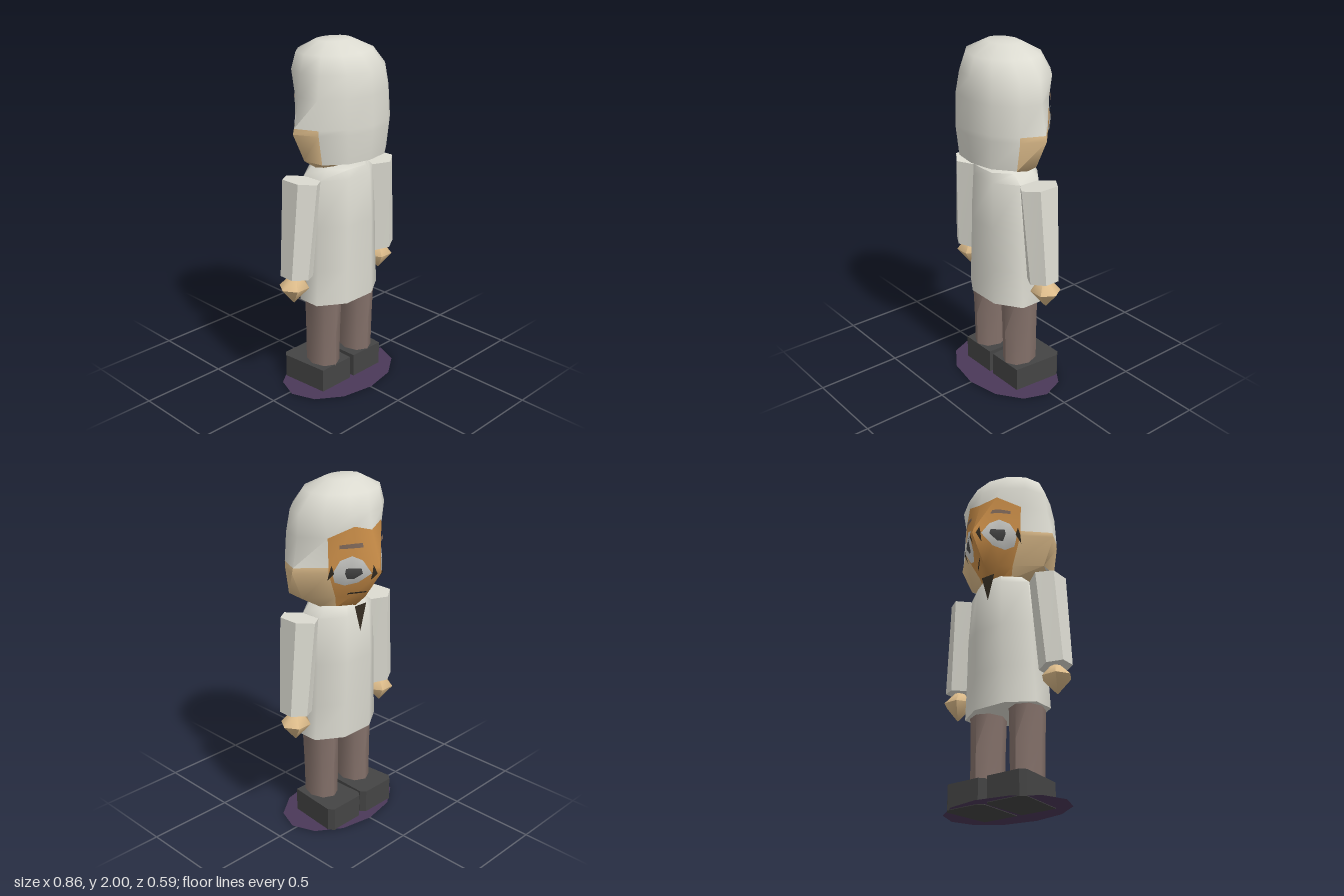
import * as THREE from 'three';
import { toCreasedNormals } from 'three/addons/utils/BufferGeometryUtils.js';

const mat = (name, color, side = THREE.FrontSide) => {
  const m = new THREE.MeshStandardMaterial({ color, side });
  m.name = name;
  return m;
};

// One closed ring, running from +z round through +x
const ring = (y, cx, cz, rx, rz, n, off = 0) =>
  Array.from({ length: n }, (_, j) => {
    const a = ((j + off) / n) * Math.PI * 2;
    return [cx + rx * Math.sin(a), y, cz + rz * Math.cos(a)];
  });

// Skin through rings from bottom to top, with capped ends; paint picks a material index
function loft(rings, crease = 0.9, paint = () => 0) {
  const n = rings[0].length;
  const pos = rings.flat(2);
  const faces = [];
  const add = (k, ...t) => (faces[k] ??= []).push(...t);
  for (let i = 0; i < rings.length - 1; i++) {
    for (let j = 0; j < n; j++) {
      const a = i * n + j, b = i * n + ((j + 1) % n);
      add(paint(i, j), a, b, b + n, a, b + n, a + n);
    }
  }
  [0, rings.length - 1].forEach((i) => {
    const c = pos.length / 3;
    for (let k = 0; k < 3; k++) pos.push(rings[i].reduce((s, p) => s + p[k], 0) / n);
    for (let j = 0; j < n; j++) {
      const a = i * n + j, b = i * n + ((j + 1) % n);
      if (i === 0) add(paint(0, j), c, b, a);
      else add(paint(i, j), c, a, b);
    }
  });
  const geo = new THREE.BufferGeometry();
  geo.setAttribute('position', new THREE.Float32BufferAttribute(pos, 3));
  geo.setIndex(faces.flat());
  let start = 0;
  faces.forEach((f, k) => {
    geo.addGroup(start, f.length, k);
    start += f.length;
  });
  return toCreasedNormals(geo, crease);
}

// Depth of the wedge-shaped face at (x, y)
const faceZ = (x, y) => {
  const ax = Math.abs(x);
  const slope = y > 1.54 ? 0.34 * Math.max(0, 1 - ax / 0.11) : 0.7;
  return -(0.295 - 0.95 * ax - slope * Math.abs(y - 1.54));
};

// Thin painted patch laid on the face, fanned from its centre
function patch(cx, cy, outline, lift = 0.008) {
  const pts = [[0, 0], ...outline].map(([x, y]) => [cx + x, cy + y, faceZ(cx + x, cy + y) - lift]);
  const idx = outline.flatMap((_, j) => [0, ((j + 1) % outline.length) + 1, j + 1]);
  const geo = new THREE.BufferGeometry();
  geo.setAttribute('position', new THREE.Float32BufferAttribute(pts.flat(), 3));
  geo.setIndex(idx);
  geo.computeVertexNormals();
  return geo;
}

export function createModel() {
  const white = mat('white cloth', 0xdcdbd1);
  const faceSkin = mat('face orange', 0xc98d48);
  const skin = mat('light skin', 0xdcbb8a);
  const trouser = mat('trouser brown', 0x84716a);
  const shoe = mat('shoe grey', 0x444444);
  const purple = mat('base purple', 0x4b3858, THREE.DoubleSide);
  const eyeWhite = mat('eye grey white', 0xd0d0cc, THREE.DoubleSide);
  const dark = mat('dark brown', 0x352d22, THREE.DoubleSide);
  const pupilGrey = mat('pupil grey', 0x484848, THREE.DoubleSide);
  const brow = mat('brow grey', 0x80695a, THREE.DoubleSide);

  const model = new THREE.Group();
  model.name = 'figure';
  const add = (name, geo, material) => {
    const m = new THREE.Mesh(geo, material);
    m.name = name;
    model.add(m);
    return m;
  };

  // Flat oval under the feet
  const disc = add('baseDisc', new THREE.CircleGeometry(1, 12), purple);
  disc.rotation.x = -Math.PI / 2;
  disc.scale.set(0.38, 0.267, 1);
  disc.rotation.z = 0;
  disc.position.set(0, 0.003, 0.025);

  // Coat: flared hem, rounded shoulders
  const k = 1 / Math.cos(Math.PI / 8);
  add('coat', loft([
    [0.54, 0.03, 0.245, 0.16], [0.75, 0.027, 0.233, 0.162], [1.0, 0.025, 0.225, 0.165],
    [1.27, 0.025, 0.205, 0.157], [1.32, 0.03, 0.15, 0.14],
  ].map(([y, cz, rx, rz]) => ring(y, 0, cz, rx * k, rz * k, 8, 0.5)), 1.1), white);

  // Dark point of the collar below the chin
  const collar = new THREE.Shape([[-0.045, 1.325], [0, 1.17], [0.045, 1.325]].map((p) => new THREE.Vector2(...p)));
  add('collarPoint', new THREE.ShapeGeometry(collar), dark).position.z = -0.148;

  // Head: half outlines run from the back to the face, then are mirrored
  const outline = (y, half, dy = {}) => {
    const p = half.map(([x, z], i) => [x, y + (dy[i] ?? 0), z]);
    return [...p, ...p.slice(1, -1).reverse().map(([x, h, z]) => [-x, h, z])];
  };
  const jaw = [[0.265, 0.03], [0.12, -0.075], [0.06, -0.13], [0, -0.183]];
  const headRings = [
    outline(1.31, [[0, 0.07], [0.08, 0.06], [0.13, 0.04], [0.15, 0], [0.1, -0.06], [0.05, -0.09], [0, -0.11]]),
    outline(1.38, [[0, 0.15], [0.12, 0.15], [0.22, 0.13], ...jaw]),
    outline(1.38, [[0, 0.26], [0.14, 0.235], [0.25, 0.15], ...jaw]),
    outline(1.54, [[0, 0.278], [0.155, 0.245], [0.275, 0.15], [0.34, 0.025], [0.2, -0.105], [0.1, -0.2], [0, -0.295]]),
    outline(1.57, [[0, 0.277], [0.155, 0.245], [0.275, 0.15], [0.332, 0.025], [0.2, -0.105], [0.1, -0.2], [0, -0.285]]),
    outline(1.73, [[0, 0.272], [0.155, 0.24], [0.27, 0.14], [0.297, 0.025], [0.205, -0.105], [0.1, -0.197], [0, -0.225]],
      { 5: 0.06, 6: 0.03 }),
    outline(1.85, [[0, 0.262], [0.14, 0.225], [0.25, 0.13], [0.284, 0.025], [0.23, -0.1], [0.12, -0.185], [0, -0.21]]),
    ring(1.945, -0.025, 0.02, 0.225, 0.19, 12),
    ring(2.0, -0.03, 0.015, 0.11, 0.085, 12),
  ];
  const HAIR = 0, FACE = 1, SKIN = 2;
  add('head', loft(headRings, 1.2, (i, j) => {
    const c = Math.min(j, 11 - j);
    if (i === 0) return c >= 4 ? FACE : SKIN;
    if (i === 2 || i === 3) return c < 2 ? HAIR : c < 4 ? SKIN : FACE;
    return i === 4 && c >= 4 ? FACE : HAIR;
  }), [white, faceSkin, skin]);

  // Mouth, slightly to one side
  add('mouth', patch(0.05, 1.41, [[-0.035, 0.012], [-0.03, 0.002], [0.035, -0.01], [0.035, 0]], 0.012), dark);

  for (const s of [1, -1]) {
    const side = s > 0 ? 'left' : 'right';
    const mx = (pts) => pts.map(([x, y]) => [s * x, y]);

    // Eye, brow and dark eye corners
    add(side + 'Eye', patch(s * 0.115, 1.54,
      mx([[-0.075, 0], [-0.045, 0.07], [0, 0.095], [0.045, 0.07], [0.075, 0], [0.045, -0.06], [0, -0.08], [-0.045, -0.06]])), eyeWhite);
    add(side + 'Pupil', patch(s * 0.11, 1.54,
      mx([[-0.034, 0], [-0.03, 0.028], [0.03, 0.028], [0.034, 0], [0.012, -0.036], [-0.012, -0.036]]), 0.012), pupilGrey);
    add(side + 'Brow', patch(s * 0.115, 1.69,
      mx([[-0.05, -0.012], [-0.05, 0.012], [0, 0.012], [0.05, 0.004], [0.05, -0.016], [0, -0.012]]), 0.012), brow);
    for (const x of [0.03, 0.195]) {
      add(side + 'EyeCorner', patch(s * x, 1.54, mx([[-0.01, 0], [0, 0.045], [0.01, 0], [0, -0.045]]), 0.012), dark);
    }

    // Sleeve and hand
    add(side + 'Sleeve', loft([
      ring(0.73, s * 0.33, 0.028, 0.092, 0.09, 6),
      ring(1.28, s * 0.288, 0.03, 0.096, 0.12, 6),
    ].map((r, i) => r.map(([x, y, z]) => [x, y + (Math.abs(x) - 0.3) * 0.12, z]))), white);
    add(side + 'Hand', loft([
      ring(0.575, s * 0.345, 0.018, 0.004, 0.004, 6, 0.5),
      ring(0.67, s * 0.341, 0.018, 0.088, 0.084, 6, 0.5),
      ring(0.735, s * 0.335, 0.02, 0.03, 0.03, 6, 0.5),
    ], 1.3), skin);

    // Trouser leg
    add(side + 'Leg', loft([
      ring(0.12, s * 0.134, 0.03, 0.085, 0.105, 8),
      ring(0.35, s * 0.134, 0.032, 0.09, 0.106, 8),
      ring(0.57, s * 0.134, 0.035, 0.098, 0.11, 8),
    ]), trouser);

    // Shoe: narrower heel, cut toe corners
    const sole = [[0.015, 0.135], [0.237, 0.135], [0.262, -0.15], [0.235, -0.18], [0.03, -0.18], [0.006, -0.15]];
    const pts = s > 0 ? sole : sole.map(([x, z]) => [-x, z]).reverse();
    add(side + 'Shoe', loft([0, 0.14].map((y) => pts.map(([x, z]) => [x, y, z])), 0.3), shoe);
  }
  return model;
}
